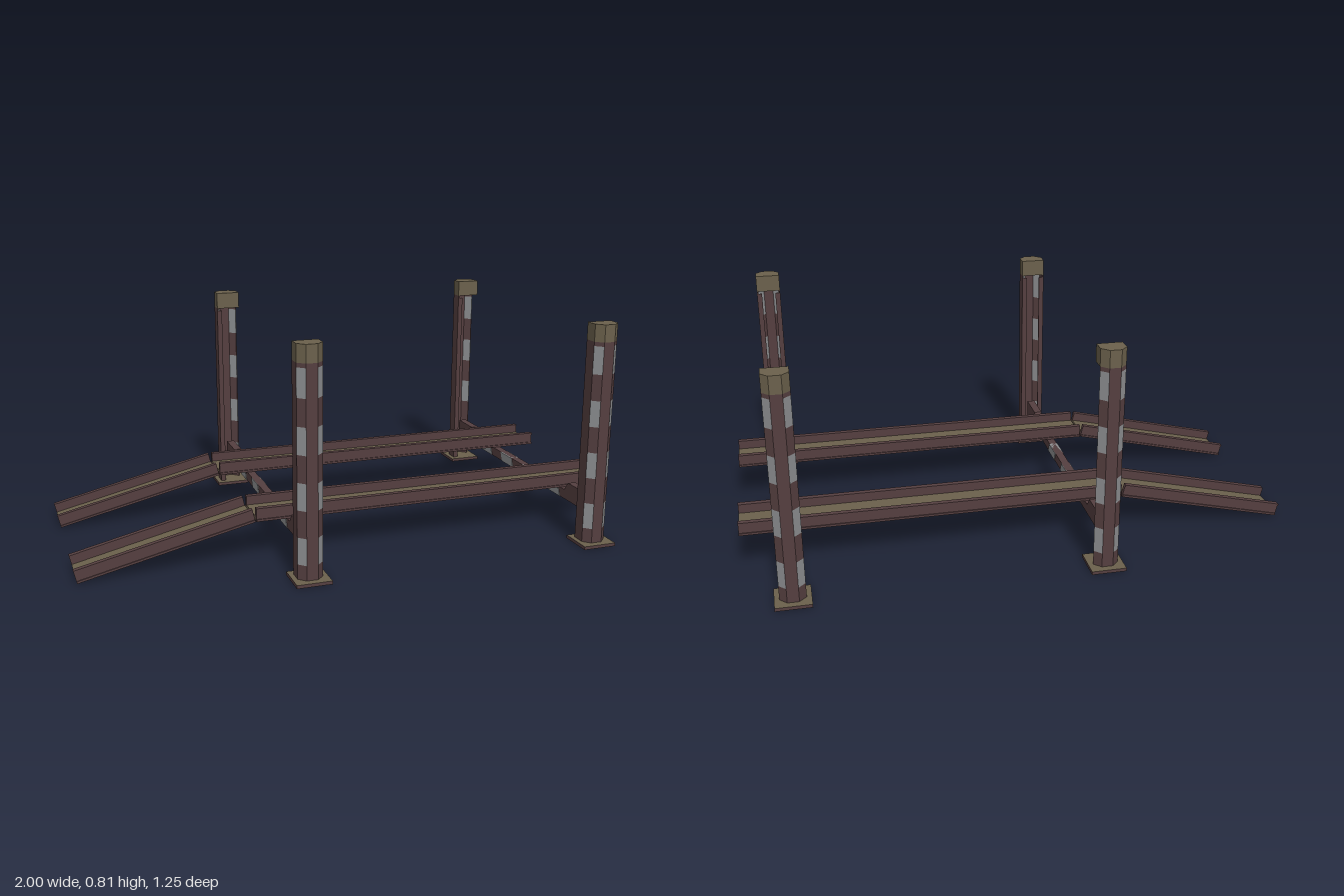
import * as THREE from 'three';

const material = (name, color) => {
  const m = new THREE.MeshStandardMaterial({ color });
  m.name = name;
  return m;
};

export function createModel() {
  const steel = material('maroon steel', 0x553f40);
  const deck = material('olive deck', 0x6b614c);
  const grey = material('warning grey', 0x8e9092);
  const lift = new THREE.Group();
  lift.name = 'fourPostLift';

  const add = (parent, name, geometry, mat, x = 0, y = 0, z = 0) => {
    const mesh = new THREE.Mesh(geometry, mat);
    mesh.name = name;
    mesh.position.set(x, y, z);
    parent.add(mesh);
    return mesh;
  };
  const box = (parent, name, w, h, d, mat, x, y, z) =>
    add(parent, name, new THREE.BoxGeometry(w, h, d), mat, x, y, z);
  const group = (name, x = 0, y = 0, z = 0) => {
    const g = new THREE.Group();
    g.name = name;
    g.position.set(x, y, z);
    lift.add(g);
    return g;
  };
  const polygon = (points) => new THREE.Shape(points.map(([x, y]) => new THREE.Vector2(x, y)));

  // Plan outline of a post: second value points away from the lift
  const plan = [[-0.045, -0.037], [-0.045, 0.012], [-0.02, 0.037], [0.02, 0.037], [0.045, 0.012], [0.045, -0.037]];
  const FOOT = 0.012, CAP = 0.75, TOP = 0.812, SHEET = 0.005;

  // Upright sheet between two plan points, kept inside the outline
  function sheet(parent, name, a, b, y0, y1, mat, s) {
    const dx = b[0] - a[0], dz = s * (b[1] - a[1]);
    const length = Math.hypot(dx, dz);
    const mid = new THREE.Vector3((a[0] + b[0]) / 2, 0, s * (a[1] + b[1]) / 2);
    const normal = new THREE.Vector3(dz / length, 0, -dx / length);
    if (normal.dot(mid) > 0) normal.negate();
    mid.addScaledVector(normal, SHEET / 2);
    const mesh = box(parent, name, length, y1 - y0, SHEET, mat, mid.x, (y0 + y1) / 2, mid.z);
    mesh.rotation.y = Math.atan2(-dz, dx);
  }

  function post(x, s) {
    const p = group('post', x, 0, s * 0.5625);
    box(p, 'basePlate', 0.125, FOOT, 0.125, [steel, steel, deck, steel, steel, steel], 0, FOOT / 2, 0);

    // Folded channel; the rear posts are open on one flank
    sheet(p, 'sideWall', plan[0], plan[1], FOOT, CAP, steel, s);
    sheet(p, 'outerWall', plan[2], plan[3], FOOT, CAP, steel, s);
    if (s > 0) sheet(p, 'sideWall', plan[4], plan[5], FOOT, CAP, steel, s);
    sheet(p, 'lip', plan[0], [-0.026, -0.037], FOOT, 0.74, steel, s);
    if (s > 0) sheet(p, 'lip', [0.026, -0.037], plan[5], FOOT, 0.74, steel, s);

    // Warning bands up both bevelled corners
    const levels = [FOOT, 0.065, 0.16, 0.255, 0.35, 0.445, 0.54, 0.635, 0.735, CAP];
    for (const i of [1, 3]) {
      for (let k = 0; k < levels.length - 1; k++) {
        sheet(p, 'bevelBand', plan[i], plan[i + 1], levels[k], levels[k + 1], k % 2 ? grey : steel, s);
      }
    }

    // Closed cap with the same outline
    const cap = new THREE.ExtrudeGeometry(polygon(plan.map(([u, v]) => [u, -s * v])),
      { depth: TOP - CAP, bevelEnabled: false });
    cap.rotateX(-Math.PI / 2);
    add(p, 'cap', cap, deck, 0, CAP, 0);
  }

  // Cross beam: raised at both ends, slanted bands on both faces
  function crossBeam(x) {
    const b = group('crossBeam', x);
    const half = [[0.385, 0.147], [0.41, 0.18], [0.54, 0.18], [0.54, 0.112]];
    const outline = [...half, ...half.map(([z, y]) => [-z, y]).reverse()];
    const beam = new THREE.ExtrudeGeometry(polygon(outline), { depth: 0.03, bevelEnabled: false });
    beam.translate(0, 0, -0.015);
    beam.rotateY(-Math.PI / 2);
    add(b, 'beam', beam, steel);
    for (let i = 0; i < 4; i++) {
      const z = 0.302 - i * 0.188;
      const band = polygon([[z - 0.04, 0.112], [z + 0.055, 0.112], [z + 0.04, 0.147], [z - 0.055, 0.147]]);
      const plate = new THREE.ExtrudeGeometry(band, { depth: 0.034, bevelEnabled: false });
      plate.translate(0, 0, -0.017);
      plate.rotateY(-Math.PI / 2);
      add(b, 'warningBand', plate, grey);
    }
  }

  // Trough with two side rails, starting at the origin and running along +x
  function trough(parent, length) {
    box(parent, 'floor', length, 0.015, 0.122, deck, length / 2, 0.0075, 0);
    for (const s of [-1, 1]) {
      const z = s * 0.07;
      box(parent, 'railWeb', length, 0.032, 0.016, steel, length / 2, 0.024, z - s * 0.002);
      box(parent, 'railTop', length, 0.008, 0.02, steel, length / 2, 0.044, z);
      box(parent, 'railBottom', length, 0.008, 0.02, steel, length / 2, 0.004, z);
    }
  }

  for (const x of [-0.245, 0.835]) {
    crossBeam(x);
    for (const s of [-1, 1]) post(x, s);
  }
  for (const s of [-1, 1]) {
    trough(group('runway', -0.37, 0.147, s * 0.277), 1.37);
    const ramp = group('ramp', -0.989, 0.001, s * 0.277);
    ramp.rotation.z = Math.atan2(0.146, 0.616);
    trough(ramp, 0.633);
  }
  return lift;
}
